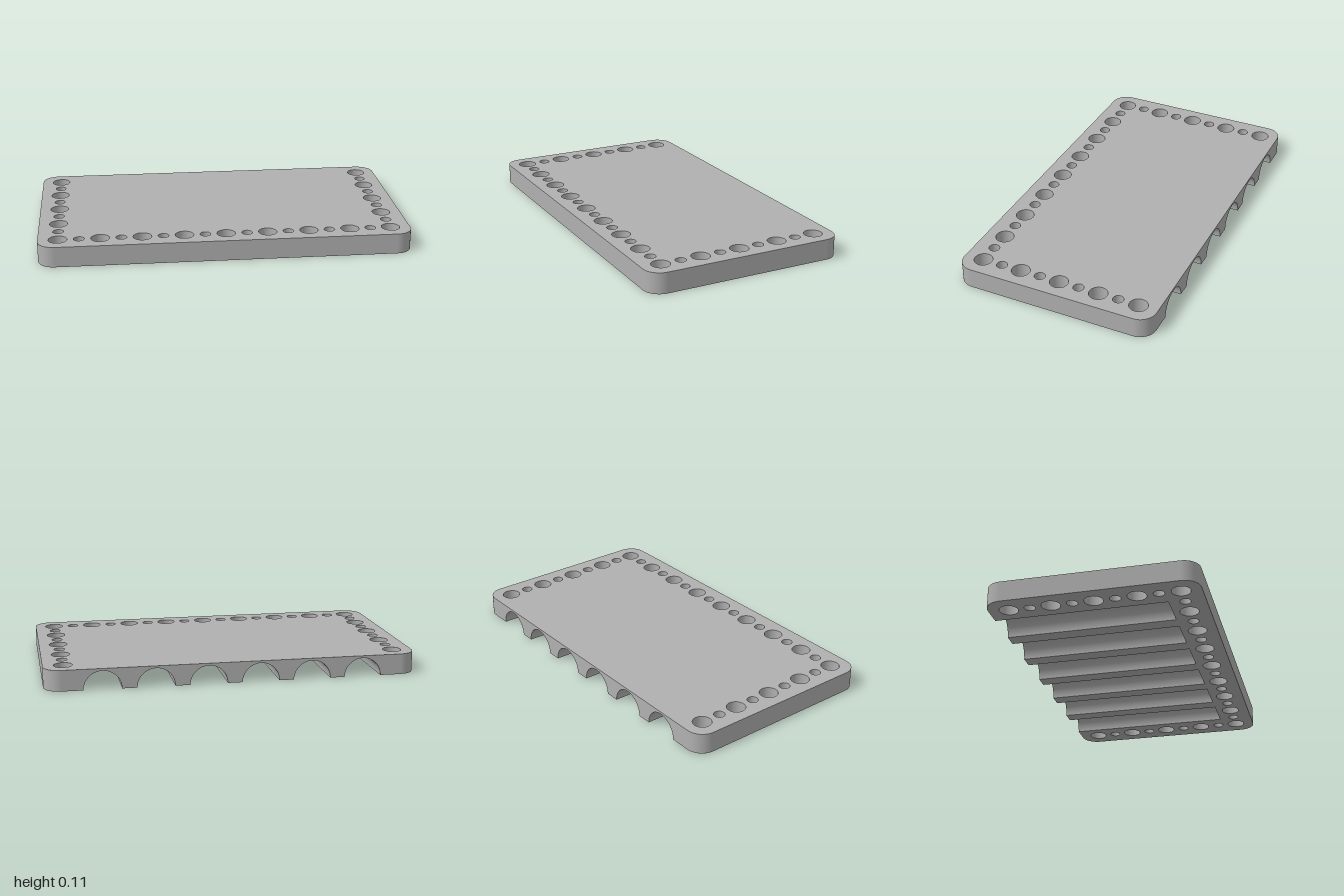
import * as THREE from 'three';

const X = 1, Z = 0.553, H = 0.112, CORNER = 0.09;
const GROOVE_R = 0.1, GROOVE_PITCH = 0.279, GROOVE_END = 0.363;
const BIG_R = 0.0495, SMALL_R = 0.029, HOLE_STEP = 0.1117, ROW_X = 0.8936, ROW_Z = 0.447;

const grooveXs = Array.from({ length: 6 }, (_, i) => (i - 2.5) * GROOVE_PITCH);

// Holes alternate large and small along both sides and the front
function holeList() {
  const holes = [];
  for (let i = -8; i <= 8; i++) holes.push([i * HOLE_STEP, ROW_Z, i % 2 ? SMALL_R : BIG_R]);
  for (let i = -4; i < 4; i++) {
    for (const s of [-1, 1]) holes.push([s * ROW_X, i * HOLE_STEP, i % 2 ? SMALL_R : BIG_R]);
  }
  return holes;
}

// Turn a surface inside out, for bores and vaults
function inward(geo) {
  const index = geo.index.array;
  for (let i = 0; i < index.length; i += 3) [index[i], index[i + 1]] = [index[i + 1], index[i]];
  const n = geo.attributes.normal;
  for (let i = 0; i < n.count; i++) n.setXYZ(i, -n.getX(i), -n.getY(i), -n.getZ(i));
  return geo;
}

// Rounded outline drawn with the back edge at the bottom (shape y = -Z)
function faceGeometry(holes, notched) {
  const s = new THREE.Shape();
  const a = X - CORNER, b = Z - CORNER;
  s.moveTo(-a, -Z);
  if (notched) {
    for (const c of grooveXs) {
      s.lineTo(c - GROOVE_R, -Z);
      s.lineTo(c - GROOVE_R, GROOVE_END);
      s.lineTo(c + GROOVE_R, GROOVE_END);
      s.lineTo(c + GROOVE_R, -Z);
    }
  }
  s.lineTo(a, -Z);
  s.absarc(a, -b, CORNER, -Math.PI / 2, 0, false);
  s.absarc(a, b, CORNER, 0, Math.PI / 2, false);
  s.absarc(-a, b, CORNER, Math.PI / 2, Math.PI, false);
  s.absarc(-a, -b, CORNER, Math.PI, Math.PI * 1.5, false);
  for (const [x, z, r] of holes) {
    s.holes.push(new THREE.Path().absarc(x, z, r, 0, Math.PI * 2, true));
  }
  // Shape y becomes z, facing down
  return new THREE.ShapeGeometry(s, 16).rotateX(Math.PI / 2);
}

export function createModel() {
  const group = new THREE.Group();
  const grey = new THREE.MeshStandardMaterial({ color: 0xb0b0b0, side: THREE.DoubleSide });
  grey.name = 'plain grey';
  const add = (name, geo, x = 0, y = 0, z = 0) => {
    const mesh = new THREE.Mesh(geo, grey);
    mesh.name = name;
    mesh.position.set(x, y, z);
    group.add(mesh);
  };
  const holes = holeList();

  // Top and underside
  const top = inward(faceGeometry(holes, false));
  add('topFace', top, 0, H, 0);
  add('underside', faceGeometry(holes, true));

  // Outer walls
  const a = X - CORNER, b = Z - CORNER;
  add('frontWall', new THREE.PlaneGeometry(2 * a, H), 0, H / 2, Z);
  for (const s of [-1, 1]) {
    add('sideWall', new THREE.PlaneGeometry(2 * b, H).rotateY(s * Math.PI / 2), s * X, H / 2, 0);
  }
  [[a, b], [a, -b], [-a, -b], [-a, b]].forEach(([x, z], i) => {
    const geo = new THREE.CylinderGeometry(CORNER, CORNER, H, 12, 1, true, i * Math.PI / 2, Math.PI / 2);
    add('roundedCorner', geo, x, H / 2, z);
  });

  // Back wall with the groove mouths cut out
  const back = new THREE.Shape();
  back.moveTo(-a, 0);
  for (const c of grooveXs) {
    back.lineTo(c - GROOVE_R, 0);
    back.absarc(c, 0, GROOVE_R, Math.PI, 0, true);
  }
  back.lineTo(a, 0);
  back.lineTo(a, H);
  back.lineTo(-a, H);
  add('backWall', new THREE.ShapeGeometry(back, 24).rotateY(Math.PI), 0, 0, -Z);

  // Half-round grooves, open at the back and closed at the front
  const length = Z + GROOVE_END;
  const vault = inward(new THREE.CylinderGeometry(
    GROOVE_R, GROOVE_R, length, 24, 1, true, Math.PI / 2, Math.PI).rotateX(Math.PI / 2));
  const end = new THREE.CircleGeometry(GROOVE_R, 24, 0, Math.PI).rotateY(Math.PI);
  for (const c of grooveXs) {
    add('grooveVault', vault, c, 0, (GROOVE_END - Z) / 2);
    add('grooveEnd', end, c, 0, GROOVE_END);
  }

  // Bores of the through holes
  for (const [x, z, r] of holes) {
    add('holeBore', inward(new THREE.CylinderGeometry(r, r, H, 32, 1, true)), x, H / 2, z);
  }
  return group;
}
